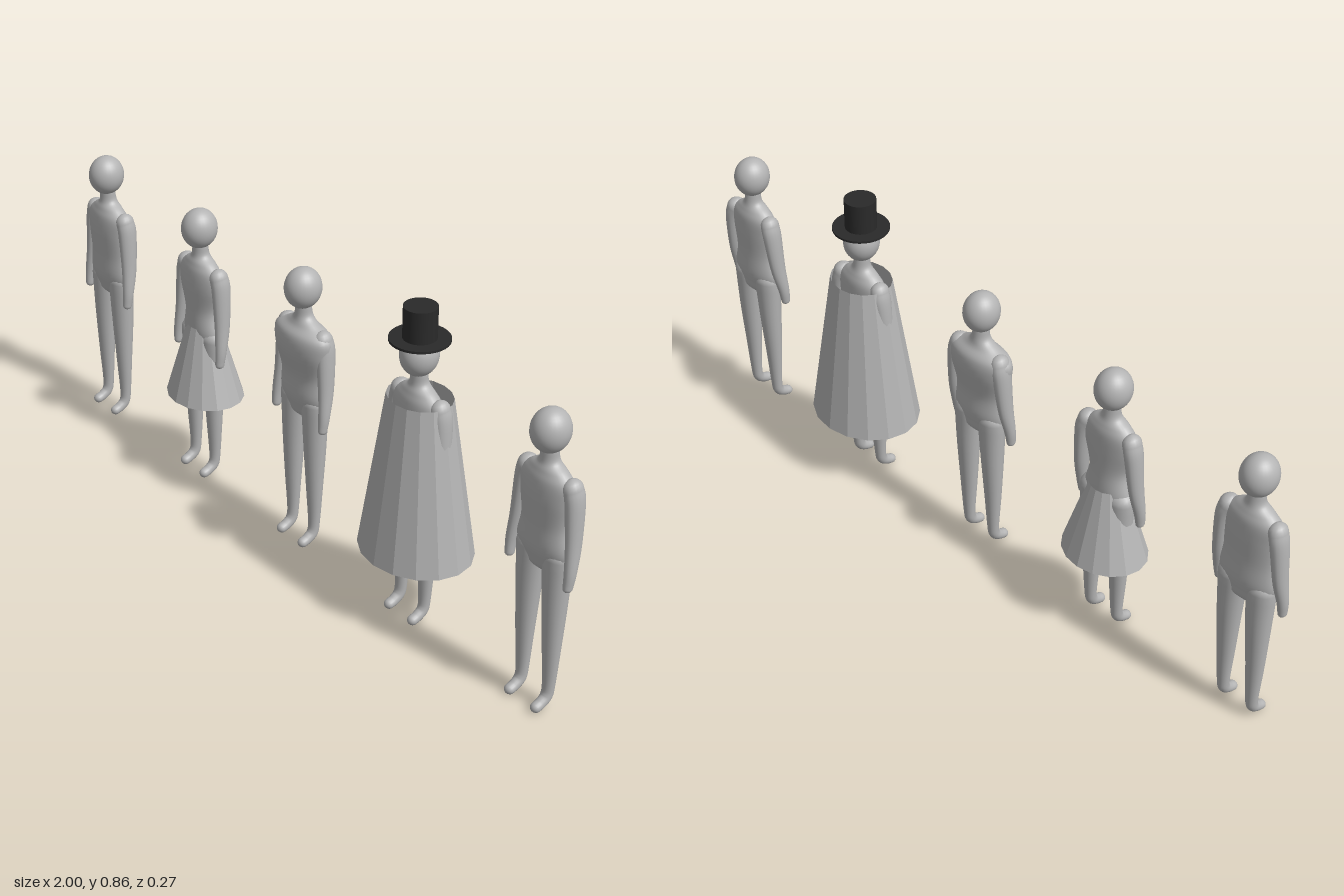
import * as THREE from 'three';

// Smooth tube through points [x, y, z, radiusX, radiusDepth], with rounded ends
function loft(points, steps = 28, sides = 18) {
  const path = new THREE.CatmullRomCurve3(points.map(p => new THREE.Vector3(p[0], p[1], p[2])), false, 'catmullrom');
  const size = new THREE.CatmullRomCurve3(points.map(p => new THREE.Vector3(p[3], p[4], 0)), false, 'catmullrom');
  const pos = [], index = [];
  let rings = 0;
  const ring = (t, capAngle) => {
    const c = path.getPoint(t), r = size.getPoint(t), tan = path.getTangent(t);
    const u = new THREE.Vector3(1, 0, 0).addScaledVector(tan, -tan.x).normalize();
    const v = new THREE.Vector3().crossVectors(tan, u);
    c.addScaledVector(tan, Math.min(r.x, r.y) * Math.sin(capAngle));
    const k = Math.max(Math.cos(capAngle), 0.01);
    for (let j = 0; j < sides; j++) {
      const a = j / sides * Math.PI * 2;
      const p = c.clone().addScaledVector(u, r.x * k * Math.cos(a)).addScaledVector(v, r.y * k * Math.sin(a));
      pos.push(p.x, p.y, p.z);
    }
    rings++;
  };
  for (let i = 5; i > 0; i--) ring(0, -i / 5 * Math.PI / 2);
  for (let i = 0; i <= steps; i++) ring(i / steps, 0);
  for (let i = 1; i <= 5; i++) ring(1, i / 5 * Math.PI / 2);
  for (let i = 0; i < rings - 1; i++) {
    for (let j = 0; j < sides; j++) {
      const a = i * sides + j, b = i * sides + (j + 1) % sides;
      index.push(a, b, b + sides, a, b + sides, a + sides);
    }
  }
  const g = new THREE.BufferGeometry();
  g.setAttribute('position', new THREE.Float32BufferAttribute(pos, 3));
  g.setIndex(index);
  g.computeVertexNormals();
  return g;
}

// Torso and neck; waist and chest set the build
function torsoGeometry(waist, chest, depth) {
  return loft([
    [0, 0.40, 0.004, 0.072, 0.03],
    [0, 0.44, 0.006, Math.min(0.083, waist + 0.012), 0.037],
    [0, 0.50, 0.007, waist, 0.036],
    [0, 0.57, 0.008, chest, depth],
    [0, 0.615, 0.007, chest, depth * 0.95],
    [0, 0.64, 0.007, 0.055, 0.03],
    [0, 0.66, 0.007, 0.027, 0.023],
    [0, 0.69, 0.008, 0.023, 0.019],
  ], 42, 28);
}

export function createModel() {
  const bodyMat = new THREE.MeshStandardMaterial({ color: 0xb4b4b4 });
  bodyMat.name = 'body grey';
  const clothMat = new THREE.MeshStandardMaterial({ color: 0xb4b4b4, flatShading: true, side: THREE.DoubleSide });
  clothMat.name = 'cloth grey';
  const hatMat = new THREE.MeshStandardMaterial({ color: 0x2a2a2a });
  hatMat.name = 'hat black';

  const add = (parent, name, geo, mat) => {
    const m = new THREE.Mesh(geo, mat);
    m.name = name;
    parent.add(m);
    return m;
  };

  const headGeo = new THREE.SphereGeometry(1, 28, 20).scale(0.046, 0.055, 0.05).translate(0, 0.735, 0.009);
  const limb = (points, s) => loft(points.map(p => [p[0] * s, ...p.slice(1)]));
  const arm = [
    [0.072, 0.615, 0.002, 0.023, 0.026],
    [0.081, 0.58, 0.001, 0.021, 0.027],
    [0.090, 0.48, 0.006, 0.017, 0.022],
    [0.096, 0.41, 0.016, 0.014, 0.016],
    [0.096, 0.37, 0.021, 0.011, 0.013],
  ];
  const leg = [
    [0.042, 0.42, 0.004, 0.04, 0.033],
    [0.044, 0.30, 0.005, 0.032, 0.029],
    [0.045, 0.17, 0.007, 0.024, 0.021],
    [0.045, 0.07, 0.008, 0.017, 0.015],
    [0.045, 0.037, 0.013, 0.015, 0.015],
    [0.045, 0.022, 0.030, 0.014, 0.014],
    [0.045, 0.016, 0.046, 0.014, 0.013],
  ];
  const limbs = [1, -1].map(s => ({ side: s > 0 ? 'left' : 'right', arm: limb(arm, s), leg: limb(leg, s) }));

  // One standing person
  const person = (name, x, waist, chest, depth) => {
    const p = new THREE.Group();
    p.name = name;
    p.position.x = x;
    add(p, 'head', headGeo, bodyMat);
    add(p, 'torso', torsoGeometry(waist, chest, depth), bodyMat);
    for (const l of limbs) {
      add(p, l.side + 'Arm', l.arm, bodyMat);
      add(p, l.side + 'Leg', l.leg, bodyMat);
    }
    return p;
  };

  // Open faceted cone of cloth, slightly wider than deep
  const cloth = (parent, name, rTop, rBottom, yTop, yBottom, z) => {
    const m = add(parent, name, new THREE.CylinderGeometry(rTop, rBottom, yTop - yBottom, 16, 1, true), clothMat);
    m.scale.x = 1.18;
    m.position.set(0, (yTop + yBottom) / 2, z);
  };

  const plainRight = person('plainFigureRight', -0.89, 0.077, 0.08, 0.039);
  const skirted = person('skirtedFigure', -0.445, 0.057, 0.077, 0.038);
  const broad = person('broadFigure', 0, 0.08, 0.097, 0.05);
  const caped = person('capedFigure', 0.445, 0.075, 0.08, 0.039);
  const plainLeft = person('plainFigureLeft', 0.89, 0.071, 0.078, 0.039);

  cloth(skirted, 'skirt', 0.042, 0.1, 0.452, 0.24, 0.003);
  cloth(caped, 'cape', 0.076, 0.135, 0.622, 0.193, 0.003);

  // Top hat
  const hat = new THREE.Group();
  hat.name = 'topHat';
  hat.position.z = 0.009;
  add(hat, 'brim', new THREE.CylinderGeometry(0.075, 0.075, 0.006, 32), hatMat).position.y = 0.777;
  add(hat, 'crown', new THREE.CylinderGeometry(0.042, 0.042, 0.085, 32), hatMat).position.y = 0.82;
  caped.add(hat);

  const model = new THREE.Group();
  model.name = 'fiveFigures';
  model.add(plainRight, skirted, broad, caped, plainLeft);
  return model;
}
